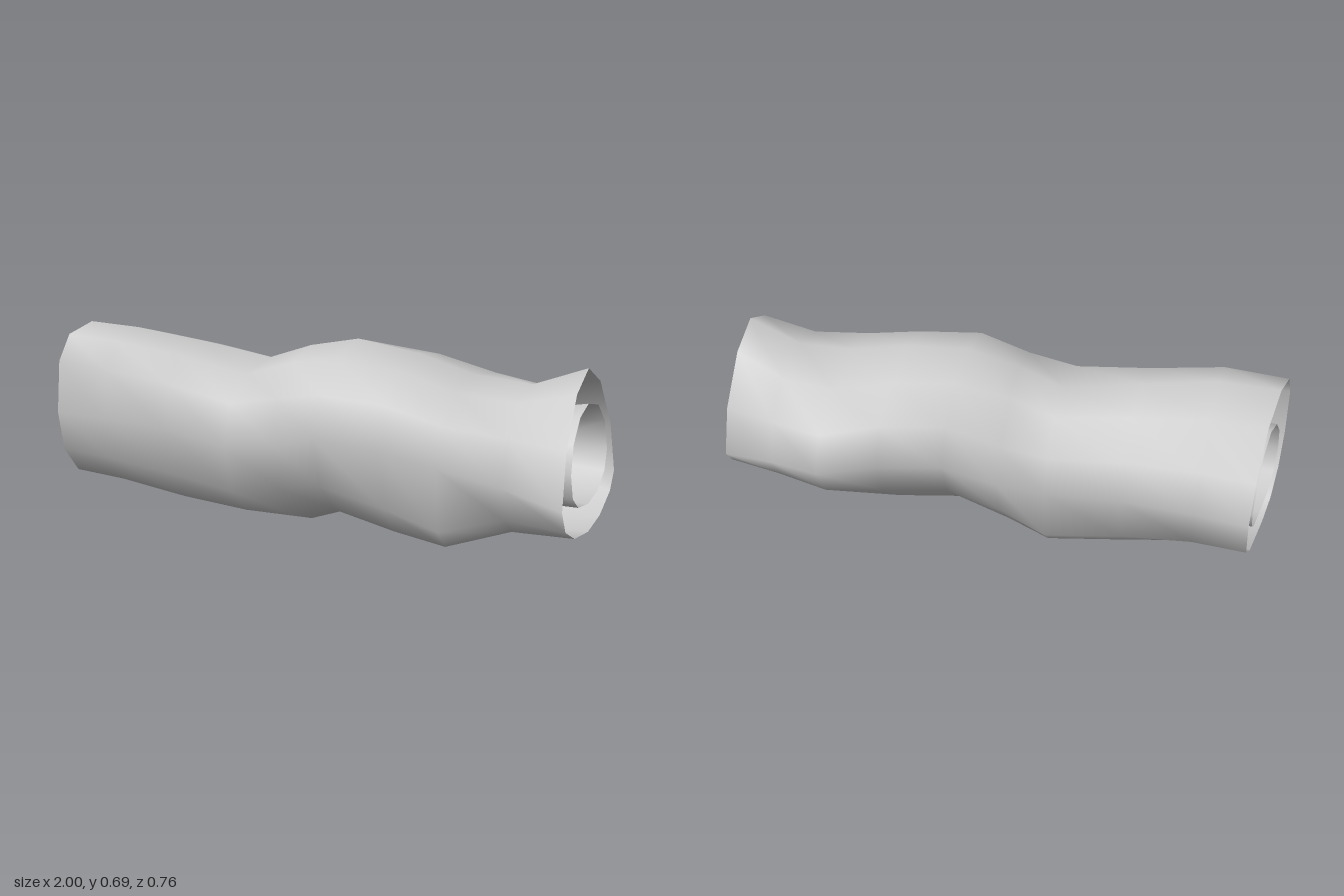
import * as THREE from 'three';

const SIDES = 12;

// Cross-sections of the bark along the log:
// x, top, bottom, back z, front z, height and z of the middle,
// then squareness of the upper front, upper back, lower back and lower front quarters
const SECTIONS = [
  [-0.96, 0.68, 0.08, -0.25, 0.32, 0.36, 0.12, 2.8, 1.7, 2.3, 2.2],
  [-0.76, 0.675, 0.075, -0.25, 0.355, 0.37, 0.12, 2.6, 1.75, 2.3, 2.2],
  [-0.5, 0.64, 0.035, -0.24, 0.342, 0.36, 0.08, 2.4, 1.8, 2.6, 2.3],
  [-0.23, 0.595, 0.025, -0.238, 0.37, 0.33, 0.04, 2.4, 1.8, 3.8, 2.4],
  [-0.06, 0.655, 0, -0.255, 0.32, 0.34, 0.04, 2.2, 1.65, 1.7, 1.9],
  [0.13, 0.695, 0.07, -0.285, 0.375, 0.4, 0.04, 2.0, 1.95, 1.65, 2.2],
  [0.36, 0.665, 0.03, -0.325, 0.337, 0.38, 0.04, 2.1, 2.1, 1.65, 2.7],
  [0.57, 0.61, 0.033, -0.385, 0.35, 0.35, 0.04, 2.1, 2.0, 1.55, 4.0],
  [0.78, 0.595, 0.1, -0.31, 0.3, 0.3, 0.04, 2.2, 2.0, 1.8, 2.6],
  [0.985, 0.67, 0.11, -0.255, 0.31, 0.25, 0.04, 1.75, 1.65, 1.7, 2.2],
];

// The lining follows the bark loosely around this calmer, narrower section
const LINING = [0.54, 0.175, -0.18, 0.235];
const BARK_MEAN = [0.65, 0.05, -0.275, 0.335];
const FOLLOW = 0.55;

function liningSection([x, ...bark]) {
  const extents = LINING.map((v, i) => v + FOLLOW * (bark[i] - BARK_MEAN[i]));
  return [x, ...extents, 0.35, 0.04, 1.9, 2.1, 2.0, 2.6];
}

// One closed ring of points
function ring([x, top, bottom, back, front, midY, midZ, ...square]) {
  const points = [];
  for (let j = 0; j < SIDES; j++) {
    const a = (j / SIDES) * Math.PI * 2;
    const c = Math.cos(a), s = Math.sin(a);
    const n = square[Math.floor((j * 4) / SIDES)];
    const u = Math.sign(c) * Math.pow(Math.abs(c), 2 / n);
    const v = Math.sign(s) * Math.pow(Math.abs(s), 2 / n);
    const y = midY + v * (s > 0 ? top - midY : midY - bottom);
    const z = midZ + u * (c > 0 ? front - midZ : midZ - back);
    // the open ends are slightly slanted
    let px = x;
    if (x < -0.9) px -= 0.04 * Math.max(0, z / 0.32) - 0.01 * Math.max(0, -z / 0.25);
    if (x > 0.9) px += 0.012 * (0.4 - y) / 0.3;
    points.push(new THREE.Vector3(px, y, z));
  }
  return points;
}

// Skin a list of sections into a smooth open tube
function loft(sections) {
  const index = [];
  for (let i = 0; i < sections.length - 1; i++) {
    for (let j = 0; j < SIDES; j++) {
      const k = (j + 1) % SIDES;
      const a = i * SIDES + j, b = a + SIDES;
      const d = i * SIDES + k, c = d + SIDES;
      index.push(a, b, d, b, c, d);
    }
  }
  const geometry = new THREE.BufferGeometry().setFromPoints(sections.flatMap(ring));
  geometry.setIndex(index);
  geometry.computeVertexNormals();
  return geometry;
}

export function createModel() {
  const log = new THREE.Group();
  log.name = 'hollowLog';
  const material = new THREE.MeshStandardMaterial({ color: 0xcccccc, side: THREE.DoubleSide });

  // Outer bark and the narrower lining, both open at the ends
  for (const [name, sections] of [['bark', SECTIONS], ['innerLining', SECTIONS.map(liningSection)]]) {
    const mesh = new THREE.Mesh(loft(sections), material);
    mesh.name = name;
    log.add(mesh);
  }

  return log;
}
